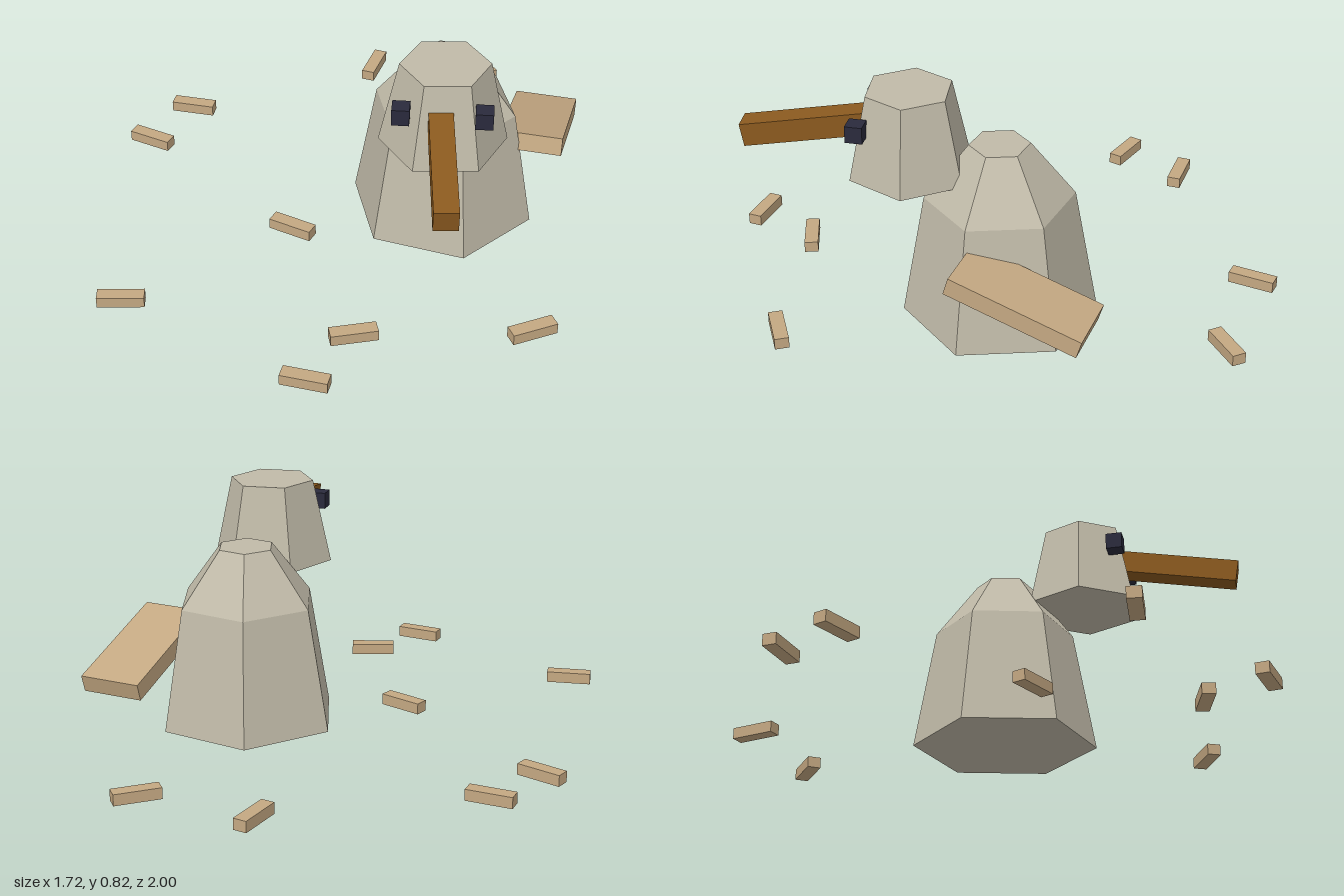
import * as THREE from 'three';

const mat = (color) => new THREE.MeshStandardMaterial({ color, flatShading: true });
const stone = mat(0xc0baa8), wood = mat(0xc4a882), brown = mat(0x8b5a1f), dark = mat(0x2a2a3c);

function add(parent, name, geometry, material, x, y, z, pitch = 0, yaw = 0) {
  const mesh = new THREE.Mesh(geometry, material);
  mesh.name = name;
  mesh.position.set(x, y, z);
  mesh.rotation.set(pitch, yaw, 0, 'YXZ');
  parent.add(mesh);
  return mesh;
}

// Six-sided tapered block standing between two heights
function taper(parent, name, rTop, rBottom, y0, y1, x, z, yaw) {
  const geometry = new THREE.CylinderGeometry(rTop, rBottom, y1 - y0, 6);
  return add(parent, name, geometry, stone, x, (y0 + y1) / 2, z, 0, yaw);
}

export function createModel() {
  const model = new THREE.Group();
  model.name = 'gnawingAnimal';

  // Body: wide lower part and steeper shoulders
  taper(model, 'lowerBody', 0.26, 0.34, 0, 0.45, 0.365, -0.055, 0.28);
  taper(model, 'shoulders', 0.105, 0.26, 0.45, 0.65, 0.365, -0.055, 0.28);

  // Head, turned slightly to its left
  taper(model, 'head', 0.155, 0.222, 0.52, 0.825, 0.366, 0.255, 0.614);

  // Eyes
  for (const [name, x] of [['rightEye', 0.227], ['leftEye', 0.504]]) {
    add(model, name, new THREE.BoxGeometry(0.06, 0.06, 0.06), dark, x, 0.719, 0.403);
  }

  // Long snout sloping down, its root buried in the head
  add(model, 'snout', new THREE.BoxGeometry(0.083, 0.083, 0.5), brown, 0.376, 0.66, 0.59, 0.165, 0.088);

  // Flat paddle tail
  add(model, 'tail', new THREE.BoxGeometry(0.23, 0.065, 0.48), wood, 0.71, 0.274, -0.21, -0.29, -0.15);

  // Wood chips scattered on the ground: x, z, yaw
  const chips = [
    [0.05, -0.915, 1.32], [0.477, -0.865, 0.63], [-0.65, -0.56, -0.13],
    [-0.778, -0.327, -0.38], [-0.17, 0.17, -0.4], [-0.72, 0.615, 0.1],
    [0.1, 0.723, 0.27], [0.705, 0.65, 0.46], [-0.04, 0.955, -0.17],
  ];
  const chipGeometry = new THREE.BoxGeometry(0.166, 0.041, 0.05);
  chips.forEach(([x, z, yaw], i) => add(model, `woodChip${i + 1}`, chipGeometry, wood, x, 0.0205, z, 0, yaw));

  return model;
}
